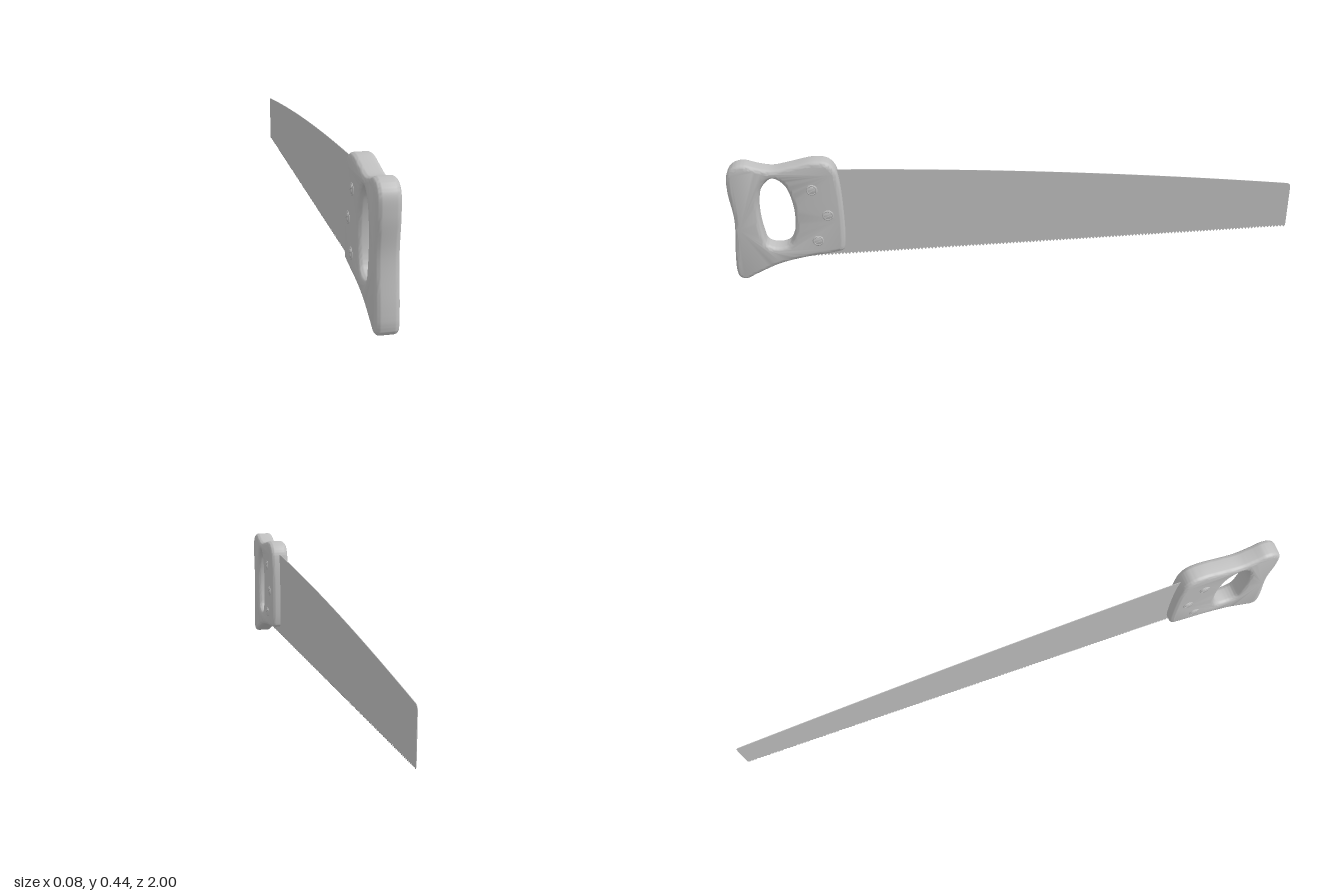
import * as THREE from 'three';
import { mergeVertices, toCreasedNormals } from 'three/addons/utils/BufferGeometryUtils.js';

const grey = new THREE.MeshStandardMaterial({ color: 0xbfbfbf });
grey.name = 'steel grey';

// Closed smooth outline through [z, y] points
function smoothLoop(points, samples) {
  const curve = new THREE.CatmullRomCurve3(
    points.map(([z, y]) => new THREE.Vector3(z, y, 0)), true, 'centripetal');
  return curve.getPoints(samples).slice(0, -1).map(p => new THREE.Vector2(p.x, p.y));
}

// Extrude a (z, y) profile, centred across x, with optional rounded edges
function sideExtrude(shape, width, round = 0) {
  const depth = width - 2 * round;
  const geo = new THREE.ExtrudeGeometry(shape, {
    depth, bevelEnabled: round > 0, bevelThickness: round, bevelSize: round,
    bevelOffset: -round, bevelSegments: 5, curveSegments: 16,
  });
  geo.translate(0, 0, -depth / 2);
  geo.rotateY(-Math.PI / 2);
  return geo;
}

function smooth(geo, angle) {
  geo.deleteAttribute('uv');
  geo.deleteAttribute('normal');
  return toCreasedNormals(mergeVertices(geo, 1e-5), angle);
}

function addMesh(parent, name, geo) {
  const mesh = new THREE.Mesh(geo, grey);
  mesh.name = name;
  parent.add(mesh);
  return mesh;
}

// Handle with a finger hole and rounded edges
function handleGeometry() {
  const outline = smoothLoop([
    [0.995, 0.345], [0.99, 0.405], [0.97, 0.43], [0.935, 0.439], [0.89, 0.425], [0.84, 0.415],
    [0.775, 0.425], [0.70, 0.438], [0.655, 0.43], [0.632, 0.405], [0.622, 0.365],
    [0.615, 0.243], [0.618, 0.115], [0.624, 0.094], [0.645, 0.087],
    [0.76, 0.072], [0.85, 0.052], [0.93, 0.018], [0.97, 0.001],
    [0.992, 0.01], [0.999, 0.035], [0.998, 0.085], [0.985, 0.233],
  ], 150);
  const hole = smoothLoop([
    [0.844, 0.383], [0.878, 0.355], [0.896, 0.30], [0.90, 0.24], [0.893, 0.17], [0.882, 0.132],
    [0.85, 0.118], [0.81, 0.126], [0.79, 0.16], [0.78, 0.233], [0.788, 0.31], [0.808, 0.36],
  ], 72);
  const shape = new THREE.Shape(outline);
  shape.holes.push(new THREE.Path(hole));
  return smooth(sideExtrude(shape, 0.07, 0.016), 0.7);
}

// Thin blade: bowed back, rounded toe, row of small teeth
function bladeGeometry() {
  const heel = 0.76, toe = -1, teeth = 144, pitch = (heel - toe) / teeth;
  const shape = new THREE.Shape();
  shape.moveTo(heel, 0.30);
  shape.lineTo(0.70, 0.395);
  shape.lineTo(0.62, 0.393);
  shape.quadraticCurveTo(-0.15, 0.352, -0.985, 0.241);
  shape.quadraticCurveTo(toe, 0.238, toe, 0.225);
  shape.lineTo(toe, 0.068);
  for (let i = 0; i < teeth; i++) {
    shape.lineTo(toe + (i + 0.5) * pitch, 0.06);
    shape.lineTo(toe + (i + 1) * pitch, 0.068);
  }
  return sideExtrude(shape, 0.002);
}

// Domed bolt head with a screwdriver slot, facing local +z
function makeBolt() {
  const bolt = new THREE.Group();
  const rim = [[0.0195, 0], [0.0195, 0.0015], [0.018, 0.003], [0.0155, 0.0035], [0.0135, 0.002], [0, 0.002]]
    .map(([r, h]) => new THREE.Vector2(r, h));
  addMesh(bolt, 'boltRim', smooth(new THREE.LatheGeometry(rim, 28).rotateX(Math.PI / 2), 0.6));
  for (const side of [0, Math.PI]) {
    const half = new THREE.Shape();
    half.absarc(0, 0, 0.0135, 0.17, Math.PI - 0.17);
    const geo = new THREE.ExtrudeGeometry(half, {
      depth: 0.0035, bevelEnabled: true, bevelThickness: 0.001, bevelSize: 0.001,
      bevelOffset: -0.001, bevelSegments: 2, curveSegments: 16,
    });
    addMesh(bolt, 'boltHead', smooth(geo, 0.6)).rotation.z = side + 0.5;
  }
  return bolt;
}

export function createModel() {
  const saw = new THREE.Group();
  saw.name = 'handSaw';
  addMesh(saw, 'handle', handleGeometry());
  addMesh(saw, 'blade', bladeGeometry());

  // Three bolts on each side of the handle
  for (const [z, y] of [[0.714, 0.337], [0.668, 0.237], [0.709, 0.14]]) {
    for (const side of [1, -1]) {
      const bolt = makeBolt();
      bolt.name = side > 0 ? 'leftBolt' : 'rightBolt';
      bolt.position.set(side * 0.0348, y, z);
      bolt.rotation.y = side * Math.PI / 2;
      saw.add(bolt);
    }
  }
  return saw;
}
